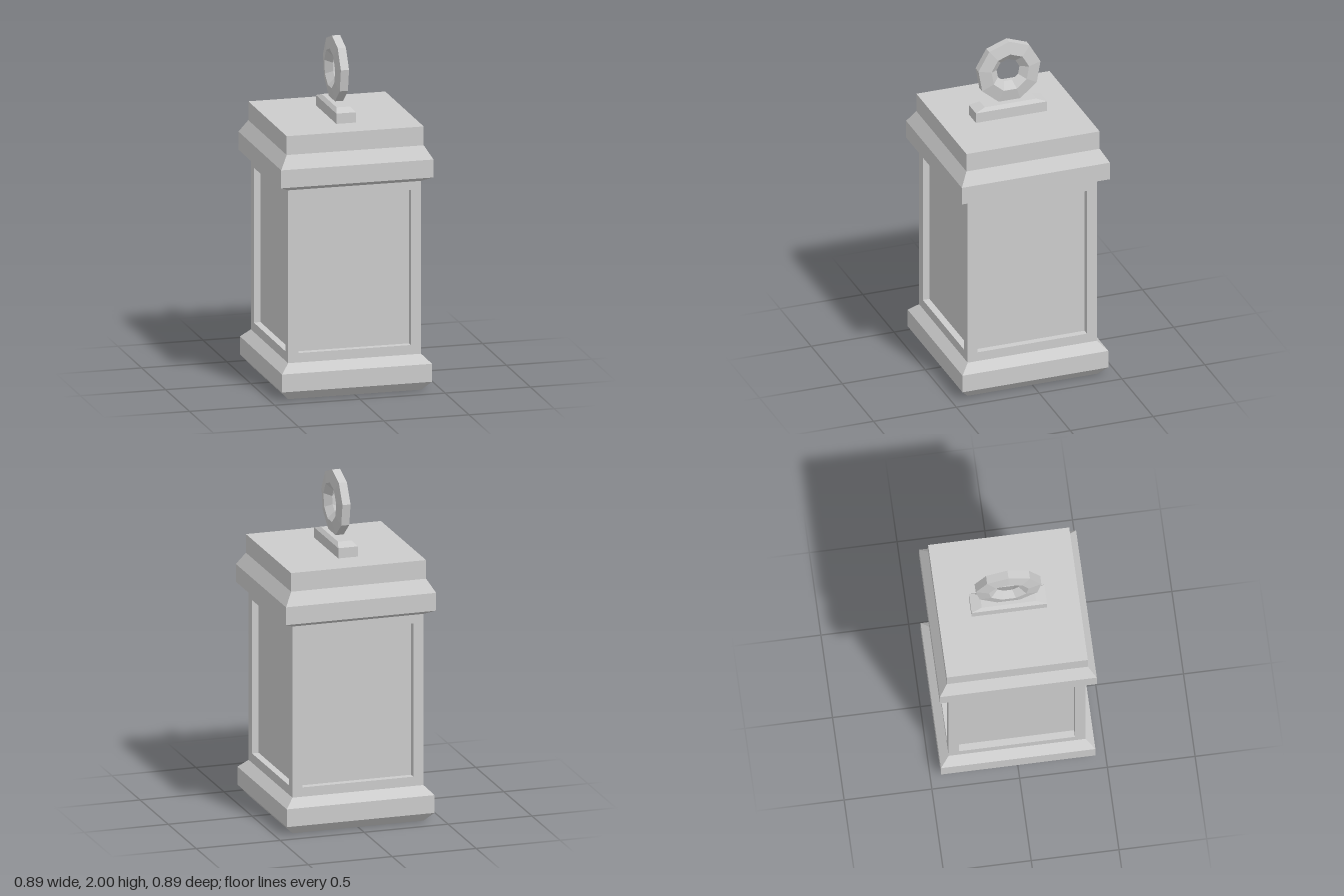
import * as THREE from 'three';

const material = new THREE.MeshStandardMaterial({ color: 0xcccccc, flatShading: true });

function add(parent, name, geometry) {
  const mesh = new THREE.Mesh(geometry, material);
  mesh.name = name;
  parent.add(mesh);
  return mesh;
}

// Square solid from a profile of [half width, height], bottom to top
function squareLathe(profile) {
  const points = profile.map(([half, y]) => new THREE.Vector2(half * Math.SQRT2, y));
  return new THREE.LatheGeometry(points, 4, Math.PI / 4);
}

// Rectangular frame whose sides are mitred to meet the next frame at the corner
function frameGeometry(half, y0, y1, openHalf, openY0, openY1, depth) {
  const rect = (target, w, a, b) =>
    target.moveTo(-w, a).lineTo(w, a).lineTo(w, b).lineTo(-w, b).closePath();
  const shape = rect(new THREE.Shape(), half, y0, y1);
  shape.holes.push(rect(new THREE.Path(), openHalf, openY0, openY1));
  const geometry = new THREE.ExtrudeGeometry(shape, { depth, bevelEnabled: false });
  const p = geometry.attributes.position;
  for (let i = 0; i < p.count; i++) {
    const x = p.getX(i);
    if (p.getZ(i) < depth / 2 && Math.abs(x) > half - 0.001) p.setX(i, Math.sign(x) * (half - depth));
  }
  geometry.translate(0, 0, half - depth);
  return geometry;
}

export function createModel() {
  const model = new THREE.Group();
  model.name = 'lantern';

  // Chamfered foot and stepped cap
  add(model, 'base', squareLathe([
    [0, 0], [0.39, 0], [0.44, 0.055], [0.44, 0.16], [0.39, 0.21], [0, 0.21],
  ]));
  add(model, 'cap', squareLathe([
    [0, 1.22], [0.39, 1.22], [0.447, 1.25], [0.447, 1.355], [0.402, 1.43], [0.402, 1.54], [0, 1.54],
  ]));

  // Recessed panes behind four frames
  const body = new THREE.Group();
  body.name = 'body';
  model.add(body);
  const depth = 0.04, half = 0.39;
  add(body, 'panes', squareLathe([[half - depth, 0.21], [half - depth, 1.22]]));
  const frame = frameGeometry(half, 0.21, 1.22, 0.33, 0.265, 1.17, depth);
  for (let i = 0; i < 4; i++) add(body, 'frame', frame).rotation.y = i * Math.PI / 2;

  // Handle plinth: a bar with a sloped top edge
  const plinth = new THREE.BoxGeometry(0.116, 0.08, 0.43, 1, 2, 1);
  const p = plinth.attributes.position;
  for (let i = 0; i < p.count; i++) {
    const y = p.getY(i);
    if (y > 0.03) p.setXYZ(i, Math.sign(p.getX(i)) * 0.04, y, Math.sign(p.getZ(i)) * 0.155);
    else if (y > -0.01) p.setY(i, 0.02);
  }
  add(model, 'handlePlinth', plinth).position.y = 1.58;

  // Nine-sided ring with a five-sided section, point facing the hole
  const section = [
    [0.19, -0.024], [0.19, 0.024], [0.115, 0.037], [0.07, 0], [0.115, -0.037], [0.19, -0.024],
  ].map(([r, x]) => new THREE.Vector2(r, x));
  const ring = new THREE.LatheGeometry(section, 9, Math.PI / 2);
  ring.rotateZ(Math.PI / 2);
  add(model, 'handleRing', ring).position.y = 1.81;

  return model;
}
